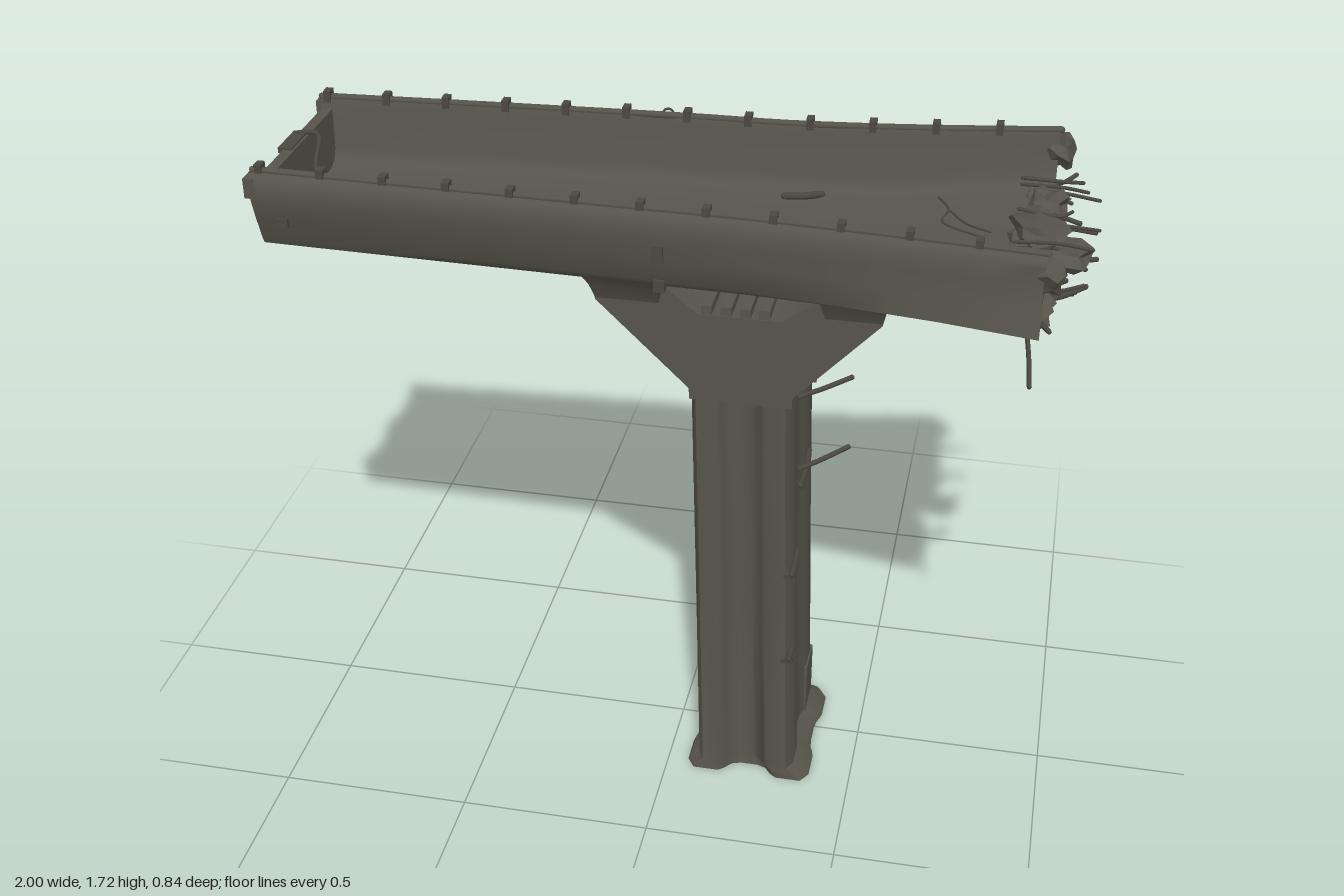
import * as THREE from 'three';
import { toCreasedNormals } from 'three/addons/utils/BufferGeometryUtils.js';

const concrete = new THREE.MeshStandardMaterial({ color: 0x56544a, side: THREE.DoubleSide });
concrete.name = 'weathered concrete';
const iron = new THREE.MeshStandardMaterial({ color: 0x4a483f });
iron.name = 'dark iron';

let seed = 7;
const rand = (a, b) => {
  seed = (seed * 16807) % 2147483647;
  return a + (b - a) * (seed / 2147483647);
};
const V = (a) => new THREE.Vector3(...a);

// Piecewise-linear lookup in [[x, value], ...]
function at(table, x) {
  for (let i = 1; i < table.length; i++) {
    const [x0, v0] = table[i - 1], [x1, v1] = table[i];
    if (x <= x1 || i === table.length - 1) return v0 + (v1 - v0) * (x - x0) / (x1 - x0);
  }
}

// Skin through closed rings; an outline [[u, v], ...] of the ring fills both ends
function loft(rings, crease, outline) {
  const n = rings[0].length, idx = [], last = (rings.length - 1) * n;
  for (let r = 0; r < rings.length - 1; r++) {
    for (let i = 0; i < n; i++) {
      const a = r * n + i, b = r * n + (i + 1) % n;
      idx.push(a, b, b + n, a, b + n, a + n);
    }
  }
  if (outline) {
    const flat = outline.map((p) => new THREE.Vector2(...p));
    const ringWay = Math.sign(THREE.ShapeUtils.area(flat));
    for (const [p, q, s] of THREE.ShapeUtils.triangulateShape(flat, [])) {
      const way = Math.sign(THREE.ShapeUtils.area([flat[p], flat[q], flat[s]]));
      const [a, b, c] = way === ringWay ? [p, q, s] : [p, s, q];
      idx.push(a, c, b, last + a, last + b, last + c);
    }
  }
  const pts = rings.flat();
  let vol = 0;
  for (let i = 0; i < idx.length; i += 3) {
    vol += V(pts[idx[i]]).dot(V(pts[idx[i + 1]]).cross(V(pts[idx[i + 2]])));
  }
  if (vol < 0) idx.reverse();
  const g = new THREE.BufferGeometry();
  g.setAttribute('position', new THREE.Float32BufferAttribute(pts.flat(), 3));
  g.setIndex(idx);
  return toCreasedNormals(g, crease);
}

export function createModel() {
  const model = new THREE.Group();
  const add = (name, geo, mat = concrete, pos = [0, 0, 0], rot = [0, 0, 0]) => {
    const m = new THREE.Mesh(geo, mat);
    m.name = name;
    m.position.set(...pos);
    m.rotation.set(...rot);
    model.add(m);
  };
  const rod = (name, pts, r = 0.006, mat = iron) => {
    const curve = new THREE.CatmullRomCurve3(pts.map(V));
    add(name, new THREE.TubeGeometry(curve, pts.length * 4, r, 6), mat);
    // closed tips
    for (const p of [pts[0], pts[pts.length - 1]]) add(name + 'Tip', new THREE.SphereGeometry(r, 6, 4), mat, p);
  };
  const box = (name, x, y, z, w, h, d, mat = iron) => add(name, new THREE.BoxGeometry(w, h, d), mat, [x, y, z]);
  // jagged lump of broken masonry
  const chunk = (name, p, s) => {
    const g = new THREE.IcosahedronGeometry(1, 1), a = g.attributes.position, k = rand(0, 6);
    for (let i = 0; i < a.count; i++) {
      const v = new THREE.Vector3().fromBufferAttribute(a, i);
      v.multiplyScalar(1 + 0.28 * Math.sin(5 * v.x + 7 * v.y + 4 * v.z + k));
      a.setXYZ(i, v.x, v.y, v.z);
    }
    g.scale(...s);
    add(name, toCreasedNormals(g, 0.5), concrete, p, [rand(-0.25, 0.25), rand(-0.3, 0.3), rand(-0.25, 0.25)]);
  };
  const slab = ([y, a, b, c, d]) => [[a, y, c], [b, y, c], [b, y, d], [a, y, d]];
  const square = [[0, 0], [1, 0], [1, 1], [0, 1]];

  // Column: hollow shaft with rounded corners, a soft channel on every side and a spreading foot
  const side = [[0.06, 0], [0.26, 0], [0.31, 0.3], [0.36, 0.8], [0.43, 1], [0.57, 1], [0.64, 0.8], [0.69, 0.3], [0.74, 0], [0.94, 0]];
  const shaft = ([y, x0, x1, z0, z1]) => {
    const w = x1 - x0, d = z1 - z0, k = 0.042, s = 0.014;
    return [
      ...side.map(([t, h]) => [x0 + t * w, y, z0 + h * k]),
      ...side.map(([t, h]) => [x1 - h * s, y, z0 + (0.02 + t * 0.96) * d]),
      ...side.map(([t, h]) => [x1 - t * w, y, z1 - h * k]),
      ...side.map(([t, h]) => [x0 + h * s, y, z1 - (0.02 + t * 0.96) * d]),
    ];
  };
  add('column', loft([[0, 0.055, 0.39, -0.165, 0.235], [0.012, 0.06, 0.38, -0.163, 0.233], [0.03, 0.085, 0.345, -0.15, 0.228],
    [0.6, 0.073, 0.327, -0.15, 0.228], [1.18, 0.06, 0.312, -0.15, 0.228]].map(shaft), 0.9));
  box('hatch', 0.338, 0.095, -0.085, 0.014, 0.17, 0.11, concrete);

  // Forked head with an opening between the arms
  const vec = (p) => new THREE.Vector2(...p);
  const fork = new THREE.Shape([[0.06, 1.17], [0.312, 1.17], [0.315, 1.2], [0.52, 1.42], [0.54, 1.51], [-0.19, 1.51],
    [-0.17, 1.42], [0.058, 1.2]].map(vec));
  fork.holes.push(new THREE.Path([[0.0, 1.47], [0.08, 1.405], [0.28, 1.405], [0.37, 1.47]].map(vec)));
  const head = new THREE.ExtrudeGeometry(fork, { depth: 0.378, bevelEnabled: false });
  add('forkedHead', toCreasedNormals(head, 0.9), concrete, [0, 0, -0.15]);
  for (const x of [0.1, 0.148, 0.194, 0.24]) box('headRib', x, 1.414, 0.04, 0.026, 0.028, 0.37, concrete);
  // collars widening below the channel on top of each arm
  for (const [a, b] of [[-0.18, -0.005], [0.375, 0.53]]) {
    add('armCollar', loft([[1.425, a + 0.01, b - 0.01, -0.15, 0.228], [1.47, a, b, -0.17, 0.25],
      [1.51, a - 0.01, b + 0.01, -0.205, 0.285]].map(slab), 0.6, square));
  }

  // Water channel: walls lean inward below at the closed end and flare out at the broken end
  const back = [[-0.985, -0.23], [-0.1, -0.285], [0.2, -0.29], [0.45, -0.315], [0.65, -0.345], [0.88, -0.385]];
  const front = [[-0.985, 0.308], [0.2, 0.335], [0.45, 0.35], [0.65, 0.365], [0.88, 0.385]];
  const flare = [[-0.985, -0.04], [0, -0.025], [0.45, 0], [0.65, 0.012], [0.88, 0.034]];
  const floorY = [[-0.985, 1.53], [0.5, 1.535], [0.7, 1.55], [0.88, 1.555]];
  const tuck = [[-0.985, 0.05], [0.2, 0.04], [0.88, 0.09]];
  const trough = (x) => {
    const y = at(floorY, x), e = at(flare, x), t = at(tuck, x);
    // one wall, from under the skirt over the rim to the floor
    const wall = (edge, s) => [
      [edge - s * t, 1.505], [edge + s * e, 1.525], [edge + s * e * 0.4, 1.59], [edge, 1.64], [edge, 1.685],
      [edge - s * 0.01, 1.7], [edge - s * 0.045, 1.7], [edge - s * 0.05, 1.685],
      [edge - s * 0.056, y + 0.04], [edge - s * 0.07, y + 0.012], [edge - s * 0.1, y],
    ];
    return [...wall(at(front, x), 1), ...wall(at(back, x), -1).reverse()];
  };
  const stations = [-0.985, -0.7, -0.4, -0.1, 0.2, 0.45, 0.55, 0.65, 0.77, 0.88];
  // the floor breaks off a little before the walls do
  const broken = (x, z) => (x > 0.8 && Math.abs(z) < 0.31 ? x - 0.04 : x);
  add('channel', loft(stations.map((x) => trough(x).map(([z, y]) => [broken(x, z), y, z])), 1.0, trough(-0.985)));
  box('endWall', -0.97, 1.6, 0.039, 0.028, 0.15, 0.45, concrete);

  // Rim rails with their clamps, one along each wall
  for (const [name, edge, s] of [['front', front, -1], ['back', back, 1]]) {
    const z = (x) => at(edge, x) + s * 0.035;
    rod(name + 'Rail', [-0.985, -0.5, 0, 0.2, 0.45, 0.65, 0.88].map((x) => [x, 1.702, z(x)]), 0.01, concrete);
    for (let i = 0; i < 12; i++) {
      const x = -0.968 + i * 0.1545;
      box(name + 'Clamp', x, 1.706, z(x), 0.018, 0.03, 0.028);
    }
    box(name + 'RimCap', -0.986, 1.668, at(edge, -0.98) + s * 0.024, 0.026, 0.05, 0.05, concrete);
    chunk(name + 'RimStub', [0.885, 1.65, at(edge, 0.88) + s * 0.03], [0.038, 0.048, 0.036]);
    box(name + 'EndBolt', -0.915, 1.58, at(edge, -0.915) + s * 0.02, 0.026, 0.025, 0.022);
  }
  for (const [y, z, h] of [[1.605, 0.322, 0.045], [1.515, 0.305, 0.03]]) box('sideBracket', 0.005, y, z, 0.026, h, 0.025);

  // Bracket and pipe on the closed end, small loose pieces in the channel
  box('endBracket', -0.98, 1.672, 0.035, 0.035, 0.014, 0.11);
  rod('endPipe', [[-0.98, 1.68, -0.01], [-0.93, 1.68, -0.01], [-0.92, 1.62, 0.05], [-0.88, 1.55, 0.11]]);
  rod('looseRod', [[0.22, 1.54, -0.18], [0.27, 1.545, -0.18], [0.31, 1.54, -0.21]], 0.009);
  for (const c of [[[0.6, -0.24], [0.63, -0.17], [0.62, -0.1], [0.72, -0.02]], [[0.63, -0.17], [0.68, -0.09], [0.74, -0.05]],
    [[0.66, 0.18], [0.72, 0.12], [0.78, 0.16]]]) {
    rod('crack', c.map(([x, z]) => [x, at(floorY, x) + 0.001, z]), 0.003);
  }
  add('hookRing', new THREE.TorusGeometry(0.014, 0.003, 6, 14), iron, [-0.09, 1.705, -0.25]);

  // Broken end: rubble slabs and bent reinforcing rods
  for (const [x, y, z, a, b, c] of [[0.91, 1.575, 0.08, 0.075, 0.04, 0.055], [0.87, 1.6, -0.14, 0.05, 0.035, 0.055],
    [0.83, 1.555, 0.2, 0.06, 0.04, 0.08], [0.85, 1.555, -0.03, 0.065, 0.04, 0.09], [0.85, 1.545, -0.29, 0.045, 0.035, 0.06],
    [0.86, 1.545, 0.31, 0.045, 0.035, 0.055], [0.77, 1.56, 0.25, 0.07, 0.025, 0.055], [0.85, 1.61, 0.02, 0.055, 0.025, 0.12]]) {
    chunk('rubble', [x, y, z], [a, b, c]);
  }
  for (let i = 0; i < 16; i++) {
    const z = -0.34 + i * 0.045, y = 1.52 + (i % 4) * 0.037;
    rod('brokenRod', [[0.8, y, z], [0.9, y + rand(-0.01, 0.01), z + rand(-0.01, 0.01)],
      [rand(0.92, 1.0), y + rand(-0.015, 0.015), z + rand(-0.02, 0.02)]], rand(0.004, 0.007));
  }
  rod('hangingRod', [[0.82, 1.53, 0.2], [0.845, 1.46, 0.22], [0.86, 1.4, 0.25], [0.87, 1.33, 0.285]]);
  rod('hangingRod', [[0.7, 1.51, -0.04], [0.81, 1.47, -0.05], [0.86, 1.42, -0.07], [0.95, 1.34, -0.18]]);
  rod('sideRod', [[0.84, 1.53, 0.36], [0.88, 1.55, 0.39], [0.9, 1.55, 0.42]]);
  rod('sideRod', [[0.84, 1.55, -0.34], [0.9, 1.55, -0.38], [0.93, 1.56, -0.41]]);

  // Remains of the ladder on the column
  for (const [y, a, b] of [[1.12, -0.14, -0.02], [0.89, -0.04, 0.14], [0.69, 0.13, 0.25], [0.42, 0.13, 0.25]]) {
    rod('ladderRung', [[0.325, y, a], [0.33, y + 0.003, (a + b) / 2], [0.33, y + 0.006, b]], 0.008);
    box('rungStub', 0.322, y - 0.015, b - 0.03, 0.03, 0.014, 0.03);
  }
  rod('bentRung', [[0.31, 1.135, 0.11], [0.37, 1.15, 0.08], [0.435, 1.167, 0.04]], 0.007);
  rod('bentRung', [[0.31, 0.92, 0.11], [0.37, 0.94, 0.08], [0.435, 0.963, 0.04]], 0.007);
  for (const [x, y] of [[0.085, 0.09], [0.064, 1.05]]) box('wallStud', x, y, 0.1, 0.02, 0.03, 0.03);

  return model;
}
